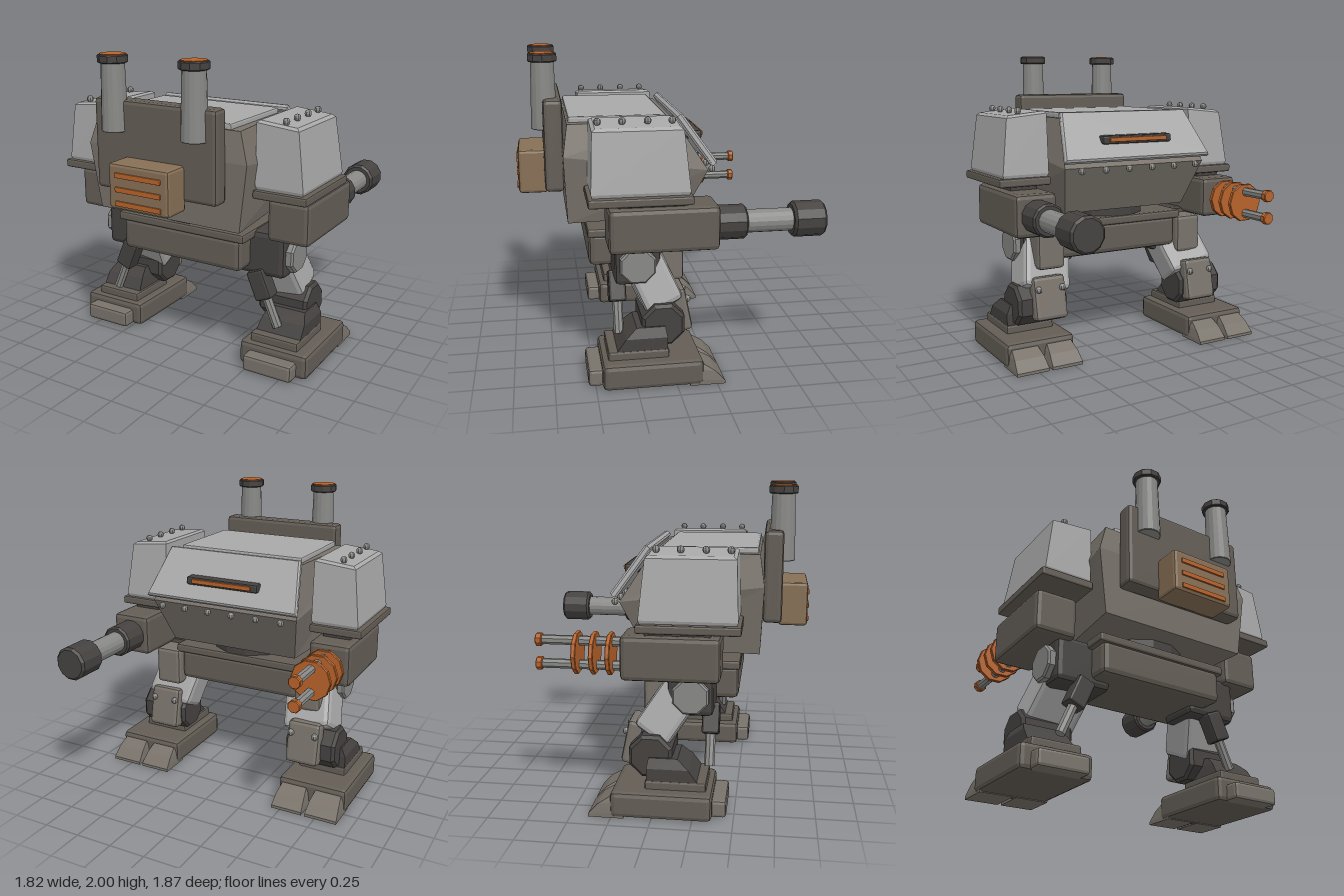
import * as THREE from 'three';
import { RoundedBoxGeometry } from 'three/addons/geometries/RoundedBoxGeometry.js';

const material = (color) => new THREE.MeshStandardMaterial({ color, flatShading: true });
const dark = material(0x454240), body = material(0x635d55), olive = material(0x78726a);
const light = material(0xa8a8a8), steel = material(0x888886), brown = material(0x877056), orange = material(0xb8632a);

function add(parent, name, geometry, mat, x = 0, y = 0, z = 0) {
  const mesh = new THREE.Mesh(geometry, mat);
  mesh.name = name;
  mesh.position.set(x, y, z);
  parent.add(mesh);
  return mesh;
}

// Chamfered box given by its extents
function box(parent, name, mat, x0, x1, y0, y1, z0, z1, bevel = 0.02) {
  const w = Math.abs(x1 - x0), h = y1 - y0, d = z1 - z0;
  const geo = new RoundedBoxGeometry(w, h, d, 1, Math.min(bevel, w / 3, h / 3, d / 3));
  return add(parent, name, geo, mat, (x0 + x1) / 2, (y0 + y1) / 2, (z0 + z1) / 2);
}

// Chamfered drum along y, with a flat side facing each axis
function drum(r0, r1, h, sides, bevel = 0.01) {
  const pts = [[0, -h / 2], [r0 - bevel, -h / 2], [r0, -h / 2 + bevel], [r1, h / 2 - bevel], [r1 - bevel, h / 2], [0, h / 2]];
  return new THREE.LatheGeometry(pts.map(([x, y]) => new THREE.Vector2(x, y)), sides, Math.PI / sides);
}

// Four corners, counter-clockwise from above
function ring(xa, xb, zFront, zBack, y, yFront = y) {
  const x0 = Math.min(xa, xb), x1 = Math.max(xa, xb);
  return [[x1, y, zBack], [x1, yFront, zFront], [x0, yFront, zFront], [x0, y, zBack]];
}

// Ring whose front and back widths differ
function taperRing(wFront, wBack, zFront, zBack, y, yFront = y) {
  return [[wBack, y, zBack], [wFront, yFront, zFront], [-wFront, yFront, zFront], [-wBack, y, zBack]];
}

// Closed skin through rings listed from bottom to top
function loft(rings) {
  const out = [];
  const quad = (a, b, c, d) => out.push(...a, ...b, ...c, ...a, ...c, ...d);
  for (let k = 0; k + 1 < rings.length; k++) {
    for (let i = 0; i < 4; i++) {
      const j = (i + 1) % 4;
      quad(rings[k][i], rings[k][j], rings[k + 1][j], rings[k + 1][i]);
    }
  }
  const [a, b, c, d] = rings[0];
  quad(d, c, b, a);
  quad(...rings[rings.length - 1]);
  const geo = new THREE.BufferGeometry();
  geo.setAttribute('position', new THREE.Float32BufferAttribute(out, 3));
  geo.computeVertexNormals();
  return geo;
}

function rivet(parent, x, y, z) {
  add(parent, 'rivet', new THREE.SphereGeometry(0.023, 8, 6), steel, x, y, z);
}

function buildTorso(root) {
  const torso = new THREE.Group();
  torso.name = 'torso';
  root.add(torso);
  add(torso, 'hull', loft([
    taperRing(0.46, 0.52, -0.1, 0.63, 0.97),
    taperRing(0.53, 0.58, -0.25, 0.65, 1.4, 1.28),
    taperRing(0.47, 0.52, -0.05, 0.62, 1.59),
  ]), olive);
  box(torso, 'roofPlate', light, -0.45, 0.45, 1.58, 1.625, 0, 0.61, 0.012);
  for (let i = 0; i < 6; i++) rivet(torso, -0.44 + i * 0.175, 1.265, -0.295);

  // Sloping visor with its slit
  const visor = add(torso, 'visorPlate', loft([
    taperRing(0.54, 0.47, -0.175, 0.175, -0.024),
    taperRing(0.55, 0.48, -0.185, 0.185, -0.012),
    taperRing(0.55, 0.48, -0.185, 0.185, 0.012),
    taperRing(0.54, 0.47, -0.175, 0.175, 0.024),
  ]), light, 0, 1.47, -0.18);
  visor.rotation.x = -0.95;
  box(torso, 'slitFrame', dark, -0.26, 0.26, 1.425, 1.48, -0.265, -0.17, 0.012);
  box(torso, 'slitGlow', orange, -0.215, 0.215, 1.44, 1.468, -0.28, -0.2, 0.005);

  // Engine pack, vent and exhaust stacks
  box(torso, 'enginePack', body, -0.44, 0.44, 1.15, 1.725, 0.64, 0.76, 0.025);
  box(torso, 'ventBox', brown, -0.218, 0.218, 1.09, 1.375, 0.74, 0.925, 0.02);
  for (const y of [1.13, 1.217, 1.305]) box(torso, 'ventSlat', orange, -0.165, 0.165, y - 0.016, y + 0.016, 0.9, 0.935, 0.004);
  for (const s of [-1, 1]) {
    add(torso, 'exhaustStack', drum(0.083, 0.072, 0.44, 16, 0.004), steel, s * 0.29, 1.75, 0.75);
    add(torso, 'exhaustCap', drum(0.093, 0.093, 0.05, 10, 0.006), dark, s * 0.29, 1.97, 0.75);
    add(torso, 'exhaustGlow', new THREE.CylinderGeometry(0.08, 0.08, 0.01, 12), orange, s * 0.29, 1.995, 0.75);
  }
}

function buildPelvis(root) {
  add(root, 'waistRing', drum(0.28, 0.28, 0.1, 12), dark, 0, 0.94, 0.22);
  box(root, 'pelvisDeck', body, -0.48, 0.48, 0.85, 0.91, -0.06, 0.51, 0.015);
  box(root, 'pelvis', body, -0.45, 0.45, 0.65, 0.87, -0.04, 0.5, 0.035);
}

function buildArm(root, s) {
  const arm = new THREE.Group();
  arm.name = s > 0 ? 'leftArm' : 'rightArm';
  root.add(arm);
  // Sloping shoulder armour with a row of rivets
  const top = (inner, outer, z0, z1, lift) => ring(s * inner, s * outer, z0, z1, 0)
    .map(([x, , z]) => [x, 1.69 - 0.1 * Math.abs(x) + lift, z]);
  add(arm, 'shoulderArmour', loft([
    ring(s * 0.57, s * 0.865, -0.065, 0.5, 1.21),
    ring(s * 0.56, s * 0.875, -0.075, 0.51, 1.24),
    top(0.555, 0.83, -0.04, 0.495, -0.01),
    top(0.57, 0.81, -0.02, 0.475, 0.005),
  ]), light);
  for (const z of [0.455, 0.31, 0.16, 0.015]) rivet(arm, s * 0.73, 1.64, z);
  box(arm, 'shoulderPlate', body, s * 0.55, s * 0.905, 1.165, 1.22, -0.09, 0.53, 0.012);
  box(arm, 'shoulderJoint', dark, s * 0.63, s * 0.82, 1.12, 1.18, -0.05, 0.35, 0.01);
  box(arm, 'forearm', body, s * 0.59, s * 0.87, 0.865, 1.14, s > 0 ? -0.26 : -0.19, 0.41, 0.03);

  const tube = (name, mat, r, y, z0, z1, sides, bevel) => {
    add(arm, name, drum(r, r, z1 - z0, sides, bevel), mat, s * 0.73, y, (z0 + z1) / 2).rotation.x = Math.PI / 2;
  };
  if (s > 0) {
    // Heavy cannon
    tube('cannonCollar', dark, 0.107, 1, -0.44, -0.24, 12, 0.012);
    tube('cannonBarrel', steel, 0.072, 1, -0.75, -0.42, 16, 0.004);
    tube('cannonMuzzle', dark, 0.112, 1, -0.935, -0.73, 12, 0.015);
  } else {
    // Twin barrels held by discs
    for (const y of [0.925, 1.075]) {
      tube('twinBarrel', steel, 0.03, y, -0.7, -0.17, 8, 0.003);
      tube('barrelTip', orange, 0.042, y, -0.73, -0.69, 8, 0.005);
    }
    for (const z of [-0.265, -0.365, -0.472]) tube('barrelDisc', orange, 0.132, 1, z - 0.014, z + 0.014, 10, 0.004);
  }
}

function buildLeg(root, s) {
  const leg = new THREE.Group();
  leg.name = s > 0 ? 'leftLeg' : 'rightLeg';
  root.add(leg);
  // The right leg takes a short step ahead
  const stride = s > 0 ? 0 : -0.09;

  box(leg, 'hipBlock', dark, s * 0.31, s * 0.69, 0.6, 0.9, 0.07, 0.36, 0.035);
  box(leg, 'hipGuard', olive, s * 0.45, s * 0.64, 0.6, 0.865, -0.08, 0.1, 0.025);
  add(leg, 'hipAxle', drum(0.12, 0.12, 0.3, 8, 0.012), steel, s * 0.585, 0.74, 0.22).rotation.z = Math.PI / 2;

  // Thigh leaning forwards and outwards
  const thigh = new THREE.Group();
  thigh.name = 'upperLeg';
  thigh.position.set(s * 0.535, 0.625, 0.135 + stride / 2);
  thigh.rotation.z = s * 0.22;
  leg.add(thigh);
  box(thigh, 'thigh', light, -0.17, 0.17, -0.22, 0.22, -0.125, 0.125, 0.035).rotation.x = 0.42 - stride * 1.8;

  // Rear piston
  const piston = new THREE.Group();
  piston.name = 'piston';
  piston.position.set(s * 0.565, 0.45, 0.335);
  piston.rotation.z = s * 0.4;
  leg.add(piston);
  box(piston, 'pistonSleeve', dark, -0.06, 0.06, 0, 0.2, -0.055, 0.055, 0.015);
  add(piston, 'pistonRod', new THREE.CylinderGeometry(0.032, 0.032, 0.36, 8), steel, 0, -0.02, 0);

  // Knee, shin guard, ankle and foot
  const shank = new THREE.Group();
  shank.name = 'lowerLeg';
  shank.position.z = stride;
  leg.add(shank);
  add(shank, 'kneeAxle', drum(0.145, 0.145, 0.35, 8, 0.02), dark, s * 0.605, 0.36, 0.07).rotation.z = Math.PI / 2;
  box(shank, 'shinGuard', olive, s * 0.455, s * 0.685, 0.265, 0.555, -0.11, -0.01, 0.025).rotation.x = 0.2;
  for (const x of [0.485, 0.655]) rivet(shank, s * x, 0.48, -0.1);
  box(shank, 'anklePlate', body, s * 0.49, s * 0.825, 0.15, 0.225, 0.04, 0.42, 0.015);
  add(shank, 'ankle', loft([
    ring(s * 0.5, s * 0.82, 0.05, 0.38, 0.2),
    ring(s * 0.52, s * 0.82, 0.05, 0.31, 0.3),
    ring(s * 0.54, s * 0.79, 0.06, 0.24, 0.36),
  ]), dark);
  box(shank, 'foot', body, s * 0.43, s * 0.91, 0.005, 0.17, -0.165, 0.46, 0.03);
  box(shank, 'heel', olive, s * 0.5, s * 0.84, 0.01, 0.12, 0.4, 0.545, 0.02);
  for (const [a, b] of [[0.44, 0.655], [0.68, 0.9]]) {
    add(shank, 'toe', loft([
      ring(s * a, s * b, -0.3, -0.08, 0),
      ring(s * a, s * b, -0.3, -0.08, 0.04, 0.02),
      ring(s * (a + 0.008), s * (b - 0.008), -0.24, -0.08, 0.11, 0.085),
      ring(s * (a + 0.02), s * (b - 0.02), -0.17, -0.08, 0.145, 0.13),
    ]), olive);
  }
}

export function createModel() {
  const root = new THREE.Group();
  root.name = 'walker';
  buildTorso(root);
  buildPelvis(root);
  for (const s of [-1, 1]) {
    buildArm(root, s);
    buildLeg(root, s);
  }
  return root;
}
